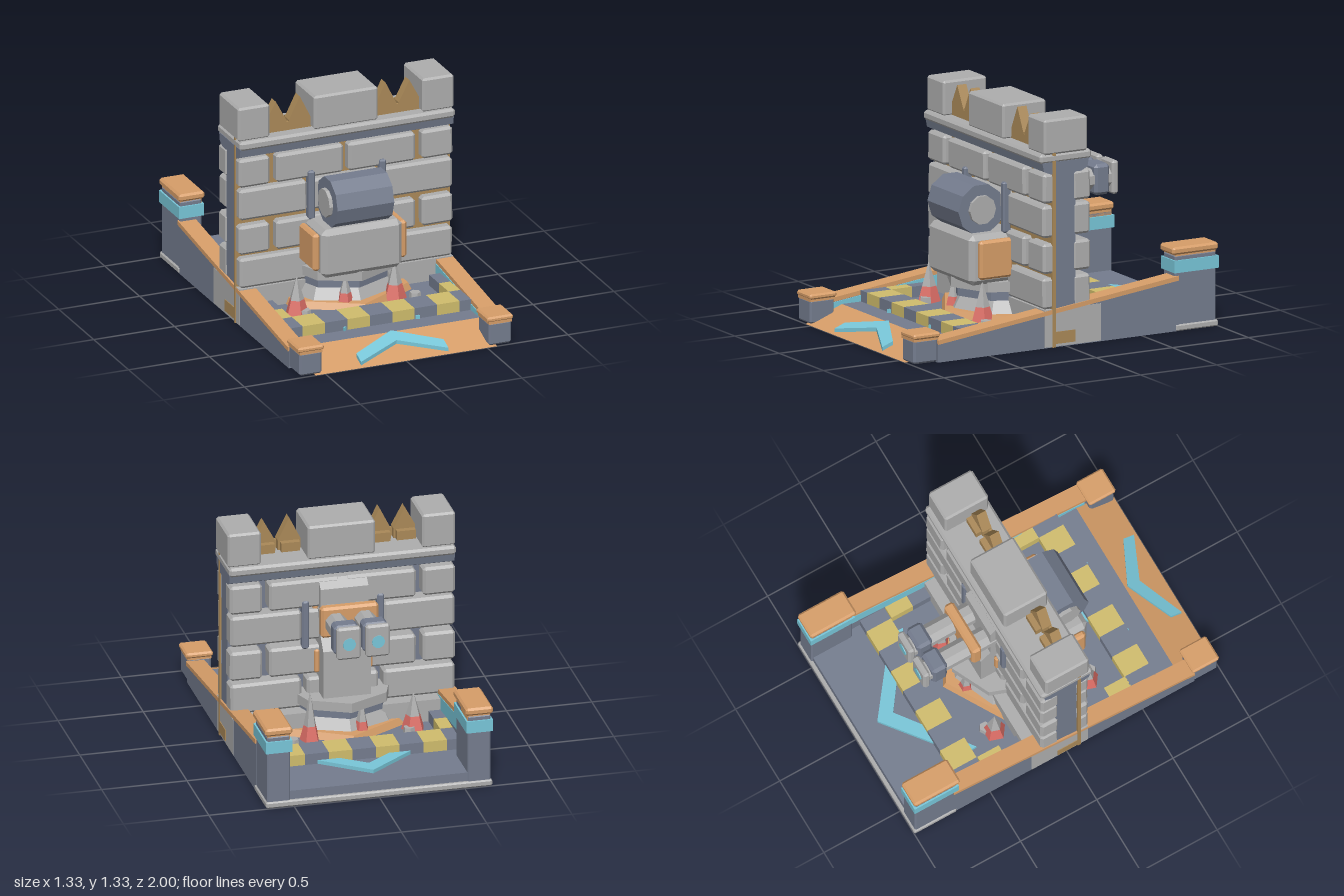
import * as THREE from 'three';
import { ConvexGeometry } from 'three/addons/geometries/ConvexGeometry.js';

const mat = (name, color) => {
  const m = new THREE.MeshStandardMaterial({ color, flatShading: true });
  m.name = name;
  return m;
};

export function createModel() {
  const stone = mat('stone grey', 0xadadad);
  const slate = mat('slate blue', 0x747c8e);
  const copper = mat('copper', 0xd69d68);
  const brass = mat('brass', 0xaa8958);
  const yellow = mat('yellow', 0xcfbc6c);
  const cyan = mat('cyan', 0x78c6d8);
  const red = mat('red', 0xdc6e66);

  const root = new THREE.Group();
  root.name = 'fortifiedGate';
  const add = (name, geo, m) => {
    const mesh = new THREE.Mesh(geo, m);
    mesh.name = name;
    root.add(mesh);
    return mesh;
  };

  // Box given by its limits, with chamfered edges when c > 0
  const block = (name, m, x0, x1, y0, y1, z0, z1, c = 0) => {
    const w = (x1 - x0) / 2, h = (y1 - y0) / 2, d = (z1 - z0) / 2;
    let geo;
    if (c) {
      const pts = [];
      for (const i of [-1, 1]) for (const j of [-1, 1]) for (const k of [-1, 1]) {
        pts.push(new THREE.Vector3(i * w, j * (h - c), k * (d - c)),
          new THREE.Vector3(i * (w - c), j * h, k * (d - c)),
          new THREE.Vector3(i * (w - c), j * (h - c), k * d));
      }
      geo = new ConvexGeometry(pts);
    } else geo = new THREE.BoxGeometry(2 * w, 2 * h, 2 * d);
    const mesh = add(name, geo, m);
    mesh.position.set((x0 + x1) / 2, (y0 + y1) / 2, (z0 + z1) / 2);
    return mesh;
  };
  // Same block on both sides of x = 0
  const pair = (name, m, x0, x1, ...rest) => {
    block(name, m, x0, x1, ...rest);
    block(name, m, -x1, -x0, ...rest);
  };
  // Side profile of [z, y] points stretched from x0 to x1
  const profile = (name, m, pts, x0, x1) => {
    const s = new THREE.Shape(pts.map(p => new THREE.Vector2(...p)));
    const g = new THREE.ExtrudeGeometry(s, { depth: x1 - x0, bevelEnabled: false });
    return add(name, g.rotateY(-Math.PI / 2).translate(x1, 0, 0), m);
  };
  const prism = (name, m, rTop, rBottom, y0, y1, sides, x = 0, z = 0) => {
    const mesh = add(name, new THREE.CylinderGeometry(rTop, rBottom, y1 - y0, sides), m);
    mesh.position.set(x, (y0 + y1) / 2, z);
    return mesh;
  };

  // Floor, entry ramp and rear trim
  block('floorSlab', slate, -0.565, 0.565, 0.02, 0.09, -0.98, 0.765);
  block('undersidePlate', stone, -0.64, 0.64, 0.004, 0.03, -0.98, 0.765);
  block('rearTrim', stone, -0.663, 0.663, 0, 0.038, -1, -0.72, 0.008);
  profile('entryRamp', copper, [[1, 0], [0.765, 0.09], [0.765, 0]], -0.56, 0.56);

  // Chequered kerb around the floor
  const cell = 0.1385;
  for (let i = -4; i <= 4; i++) {
    const x0 = Math.max((i - 0.5) * cell, -0.56), x1 = Math.min((i + 0.5) * cell, 0.56);
    for (const z of [-0.57, 0.56]) block('kerbTile', i % 2 ? yellow : slate, x0, x1, 0.088, 0.155, z - 0.08, z + 0.08);
  }
  for (const s of [-1, 1]) for (let j = 0; j < 2; j++) {
    const a = 0.485 - j * 0.14, b = a - 0.14;
    pair('kerbSideTile', j ? slate : yellow, 0.485, 0.56, 0.088, 0.155, Math.min(s * a, s * b), Math.max(s * a, s * b));
  }

  // Direction chevrons: apex, half width, sweep and arm thickness
  const chevron = (name, z, w, sweep, t, y, slope = 0) => {
    const s = new THREE.Shape([[0, -z], [-w, -z - sweep], [-w, -z - sweep - t], [0, -z - t * 1.15],
      [w, -z - sweep - t], [w, -z - sweep]].map(p => new THREE.Vector2(...p)));
    const g = new THREE.ExtrudeGeometry(s, { depth: 0.022, bevelEnabled: false }).rotateX(-Math.PI / 2);
    const p = g.attributes.position;
    for (let i = 0; i < p.count; i++) p.setY(i, p.getY(i) + y + (1 - p.getZ(i)) * slope);
    g.computeVertexNormals();
    add(name, g, cyan);
  };
  chevron('rampChevron', 0.78, 0.27, 0.13, 0.07, 0, 0.383);
  chevron('frontFloorChevron', 0.425, 0.235, 0.17, 0.06, 0.09);
  chevron('rearFloorChevron', -0.86, 0.415, 0.32, 0.09, 0.09);

  // Sloping side rails with copper caps, inner stripes and corner posts
  for (const s of [-1, 1]) {
    const span = (a, b) => s > 0 ? [a, b] : [-b, -a];
    profile('sideRail', slate, [[0.84, 0], [0.84, 0.11], [-0.74, 0.297], [-0.74, 0]], ...span(0.56, 0.657));
    profile('railCap', copper, [[0.84, 0.105], [0.84, 0.13], [-0.74, 0.322], [-0.74, 0.295]], ...span(0.557, 0.663));
    profile('railStripe', cyan, [[0.82, 0.055], [0.82, 0.105], [-0.73, 0.294], [-0.73, 0.2]], ...span(0.554, 0.561));
  }
  pair('frontPost', slate, 0.515, 0.655, 0.005, 0.145, 0.835, 0.995, 0.012);
  pair('frontPostNeck', copper, 0.515, 0.655, 0.135, 0.155, 0.835, 0.995);
  pair('frontPostCap', copper, 0.505, 0.665, 0.148, 0.18, 0.825, 1, 0.01);
  pair('rearPost', slate, 0.52, 0.655, 0.01, 0.44, -0.99, -0.72, 0.008);
  pair('rearPostBand', cyan, 0.51, 0.665, 0.34, 0.412, -1, -0.71);
  pair('rearPostNeck', copper, 0.52, 0.652, 0.412, 0.45, -0.985, -0.725);
  pair('rearPostCap', copper, 0.508, 0.667, 0.445, 0.49, -1, -0.7, 0.012);

  // Wall core, foundation and brass inner panel
  block('wallFoundation', stone, -0.66, 0.66, 0.005, 0.222, -0.23, 0.14);
  block('wallCore', slate, -0.652, 0.652, 0.2, 1.1, -0.065, 0.088);
  block('innerPanel', brass, -0.664, 0.664, 0, 1.18, 0.07, 0.09);
  block('panelFoot', brass, -0.664, 0.664, 0.02, 0.09, -0.06, 0.09);

  // Brick courses on both faces of the wall, slightly uneven
  let seed = 7;
  const rnd = () => (seed = (seed * 16807) % 2147483647) / 2147483647 - 0.5;
  const split = [[-0.66, -0.47], [-0.43, -0.015], [0.015, 0.43], [0.47, 0.66]];
  const whole = [[-0.657, -0.24], [-0.21, 0.21], [0.24, 0.657]];
  [[0.225, 0.405, whole], [0.43, 0.605, split], [0.64, 0.825, whole], [0.84, 1.012, split]].forEach(([y0, y1, row]) => {
    for (const [x0, x1] of row) for (const [z0, z1] of [[0.06, 0.145], [-0.165, -0.05]]) {
      const b = block('brick', stone, x0, x1, y0, y1, z0, z1, 0.015);
      b.rotation.set(rnd() * 0.04, rnd() * 0.02, rnd() * 0.02);
    }
  });

  // Cornice and battlements
  profile('corniceMoulding', slate, [[0.1, 1.01], [0.145, 1.03], [0.155, 1.08], [-0.15, 1.08], [-0.14, 1.03], [-0.1, 1.01]], -0.66, 0.66);
  block('corniceLip', stone, -0.665, 0.665, 1.075, 1.13, -0.168, 0.17, 0.014);
  pair('outerMerlon', stone, 0.472, 0.667, 1.125, 1.33, -0.14, 0.145, 0.012);
  block('middleMerlon', stone, -0.198, 0.198, 1.125, 1.33, -0.14, 0.145, 0.012);
  for (const s of [-1, 1]) for (const [x, top] of [[0.265, 1.325], [0.413, 1.315]]) {
    const w = 0.067;
    const shape = new THREE.Shape([[-w, 1.12], [w, 1.12], [w, 1.19], [0, top], [-w, 1.19]].map(p => new THREE.Vector2(...p)));
    add('brassSpike', new THREE.ExtrudeGeometry(shape, { depth: 0.06, bevelEnabled: false }).translate(s * x, 0, 0.03), brass);
    block('spikeBlock', brass, s * x - 0.055, s * x + 0.055, 1.125, 1.185, -0.005, 0.04);
  }

  // Pedestal rings running through the wall
  prism('pedestalBase', copper, 0.41, 0.43, 0.09, 0.13, 6);
  prism('pedestalFoot', stone, 0.31, 0.35, 0.13, 0.2, 8);
  prism('pedestalRing', slate, 0.33, 0.33, 0.2, 0.26, 8).scale.x = 0.92;
  prism('pedestalTop', stone, 0.37, 0.37, 0.255, 0.312, 8).scale.x = 0.88;

  // Front housing and winch drum
  block('winchHousing', stone, -0.25, 0.25, 0.305, 0.598, 0.1, 0.385, 0.03);
  pair('housingSidePlate', copper, 0.245, 0.29, 0.345, 0.57, 0.13, 0.345, 0.014);
  const drumPart = (name, m, r, half) => {
    const d = add(name, new THREE.CylinderGeometry(r, r, half * 2, 10), m);
    d.rotation.set(0, 0, Math.PI / 2);
    d.position.set(0, 0.73, 0.275);
  };
  drumPart('winchDrum', slate, 0.15, 0.175);
  drumPart('drumHub', stone, 0.085, 0.197);
  for (const z of [0.14, -0.15]) pair('wallRod', slate, 0.2, 0.24, 0.59, 0.885, z - 0.025, z + 0.025, 0.009);

  // Rear pillar
  profile('rearPillar', stone, [[0, 0.25], [0, 1.01], [-0.15, 1.01], [-0.2, 0.96], [-0.2, 0.67], [-0.262, 0.6], [-0.262, 0.25]], -0.14, 0.14);
  pair('rearSidePlate', copper, 0.14, 0.17, 0.44, 0.58, -0.18, -0.1, 0.008);
  pair('rearUpperPlate', copper, 0.14, 0.17, 0.71, 0.92, -0.15, -0.1, 0.008);

  // Twin barrels with collar, muzzle blocks and cyan bores
  for (const x of [-0.085, 0.085]) {
    const tube = (name, m, r, z0, z1, sides) => {
      const g = new THREE.CylinderGeometry(r, r, z1 - z0, sides).rotateY(Math.PI / 8).rotateX(Math.PI / 2);
      add(name, g, m).position.set(x, 0.805, (z0 + z1) / 2);
    };
    tube('barrel', stone, 0.065, -0.62, -0.1, 8);
    tube('bore', cyan, 0.038, -0.647, -0.63, 12);
    block('muzzleBlock', slate, x - 0.073, x + 0.073, 0.715, 0.895, -0.585, -0.485, 0.018);
    block('muzzleRim', stone, x - 0.07, x + 0.07, 0.71, 0.905, -0.642, -0.6, 0.012);
  }
  block('barrelCollar', copper, -0.168, 0.168, 0.715, 0.9, -0.33, -0.268, 0.014);

  // Ground spikes with red bases, and floor bolts
  const spike = (x, z, tip, r = 0.07) => {
    prism('spikeBase', red, r * 0.62, r, 0.09, 0.18, 5, x, z);
    prism('spikeTip', stone, 0.001, r * 0.62, 0.18, tip, 5, x, z);
  };
  spike(-0.375, 0.3, 0.32);
  spike(0.23, 0.3, 0.33);
  spike(-0.08, 0.31, 0.29, 0.055);
  spike(-0.375, -0.31, 0.32);
  spike(0.23, -0.31, 0.385, 0.06);
  spike(-0.07, -0.32, 0.32, 0.05);
  for (const x of [-0.34, 0.34]) for (const z of [-0.35, 0.34]) prism('floorBolt', stone, 0.032, 0.036, 0.09, 0.125, 6, x, z);

  return root;
}
